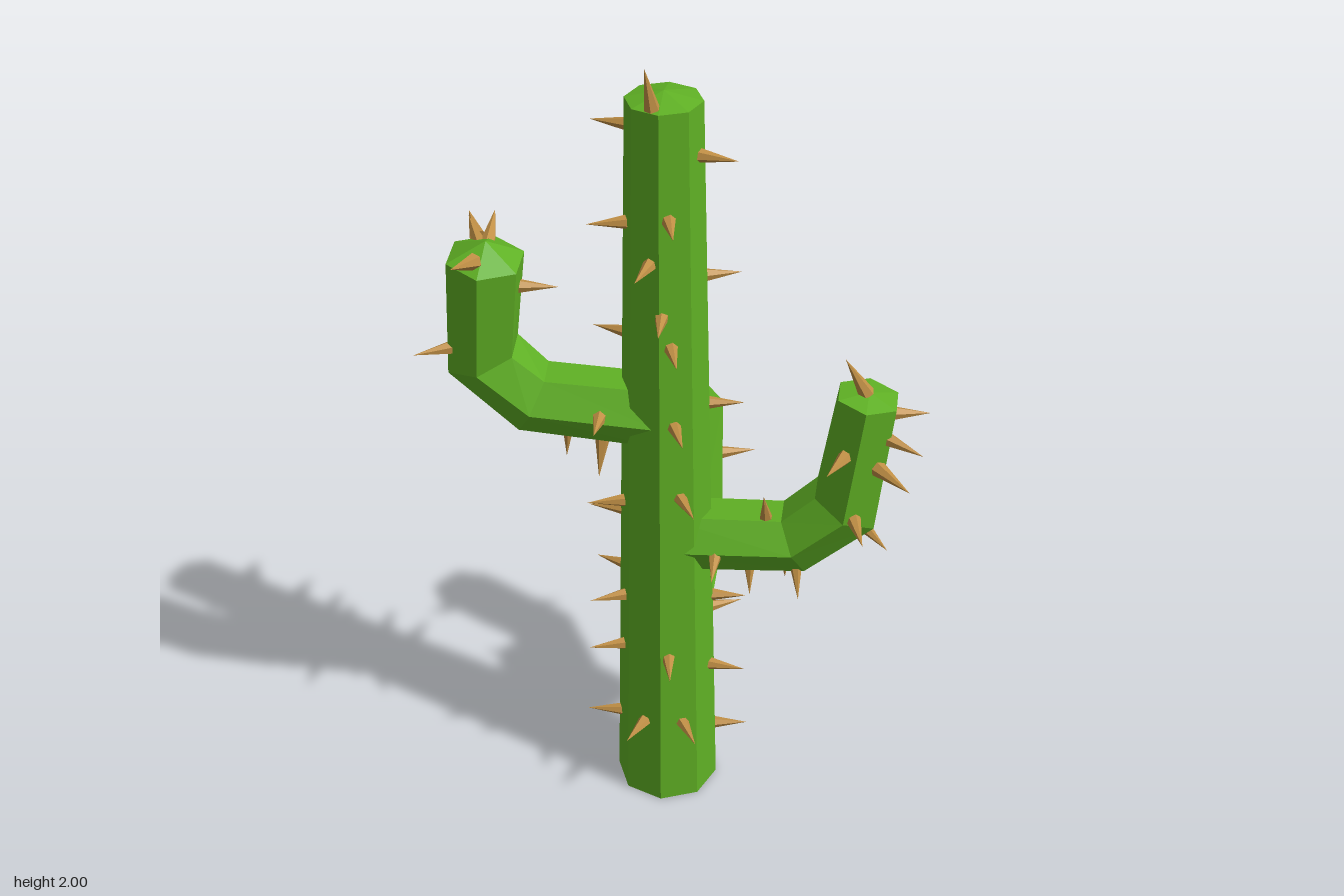
import * as THREE from 'three';

const SPINE = 0.11;
const V = (p) => new THREE.Vector3(...p);

// Faceted limb swept along points, with flat-shaded rings and a low domed tip
function limbGeometry(sides, path, radii, ref, dome) {
  const pts = path.map(V), pos = [], idx = [], n = pts.length;
  pts.forEach((p, i) => {
    const t = new THREE.Vector3();
    if (i > 0) t.add(p.clone().sub(pts[i - 1]).normalize());
    if (i < n - 1) t.add(pts[i + 1].clone().sub(p).normalize());
    t.normalize();
    const u = V(ref).addScaledVector(t, -t.dot(V(ref))).normalize();
    const v = t.clone().cross(u);
    for (let j = 0; j < sides; j++) {
      const a = (j / sides) * Math.PI * 2;
      const q = p.clone().addScaledVector(u, Math.cos(a) * radii[i]).addScaledVector(v, Math.sin(a) * radii[i]);
      pos.push(q.x, q.y, q.z);
    }
  });
  const tip = pts[n - 1].clone().addScaledVector(pts[n - 1].clone().sub(pts[n - 2]).normalize(), dome);
  pos.push(...path[0], tip.x, tip.y, tip.z);
  const start = n * sides, end = start + 1, last = (n - 1) * sides;
  for (let j = 0; j < sides; j++) {
    const k = (j + 1) % sides;
    for (let i = 0; i < n - 1; i++) {
      const a = i * sides + j, b = i * sides + k;
      idx.push(a, b, b + sides, a, b + sides, a + sides);
    }
    idx.push(start, k, j, end, last + j, last + k);
  }
  const g = new THREE.BufferGeometry();
  g.setAttribute('position', new THREE.Float32BufferAttribute(pos, 3));
  g.setIndex(idx);
  const flat = g.toNonIndexed();
  flat.computeVertexNormals();
  return flat;
}

// Closest point to p on a limb's centre line
function nearestOnPath(path, p) {
  const found = path.slice(1).map((q, i) =>
    new THREE.Line3(V(path[i]), V(q)).closestPointToPoint(p, true, new THREE.Vector3()));
  return found.sort((a, b) => a.distanceTo(p) - b.distanceTo(p))[0];
}

export function createModel() {
  const green = new THREE.MeshStandardMaterial({ color: 0x5fb024, flatShading: true });
  green.name = 'cactusGreen';
  const tan = new THREE.MeshStandardMaterial({ color: 0xc08f45, flatShading: true });
  tan.name = 'spineTan';

  const model = new THREE.Group();
  model.name = 'cactus';
  const spineGeometry = new THREE.ConeGeometry(0.02, SPINE, 6);
  const up = new THREE.Vector3(0, 1, 0);

  // Spine ending at tip and pointing away from origin
  const addSpine = (limb, origin, tip) => {
    const dir = tip.clone().sub(origin).normalize();
    const spine = new THREE.Mesh(spineGeometry, tan);
    spine.name = 'spine';
    spine.position.copy(tip).addScaledVector(dir, -SPINE / 2);
    spine.quaternion.setFromUnitVectors(up, dir);
    limb.add(spine);
  };

  // Each limb grows its spines straight out from its centre line to the given tips
  const addLimb = (name, sides, path, radii, ref, dome, tips) => {
    const limb = new THREE.Group();
    limb.name = name;
    const body = new THREE.Mesh(limbGeometry(sides, path, radii, ref, dome), green);
    body.name = name + 'Body';
    limb.add(body);
    for (const tip of tips.map(V)) addSpine(limb, nearestOnPath(path, tip), tip);
    model.add(limb);
    return limb;
  };

  // Trunk spines by side: [height, bearing in degrees from the front toward +x]
  const front = [[1.65, 14], [1.54, -14], [1.41, 3], [1.33, 16], [1.12, 20], [0.92, 28], [0.45, 10], [0.24, -22], [0.24, 28]];
  const left = [[1.78, 78], [1.46, 108], [1.13, 97], [0.57, 94], [0.5, 116], [0.37, 82], [0.15, 97]];
  const back = [[1.74, 170], [1.63, 198], [1.54, 160], [1.46, 188], [1.37, 172], [1.22, 200], [1.13, 178], [1.05, 162], [0.34, 165], [0.04, 178]];
  const right = [[1.83, -100], [1.61, -75], [1.3, -105], [0.86, -75], [0.81, -95], [0.62, -110], [0.59, -65], [0.43, -70], [0.19, -85]];
  const trunkTips = [...front, ...left, ...back, ...right].map(([y, bearing]) => {
    const a = THREE.MathUtils.degToRad(bearing), r = 0.207 - 0.02 * y;
    return [-0.03 + Math.sin(a) * r, y, 0.124 + Math.cos(a) * r];
  });

  // Trunk with one upright spine on its crown
  const trunk = addLimb('trunk', 8, [[-0.03, 0, 0.125], [-0.03, 1.9, 0.122]], [0.127, 0.087], [0, 0, -1], 0.02, trunkTips);
  addSpine(trunk, V([-0.04, 1.85, 0.175]), V([-0.06, 2, 0.2]));

  // Three bent arms
  addLimb('rightArm', 6, [[-0.03, 1.11, 0.13], [-0.34, 1.13, 0.135], [-0.45, 1.25, 0.155], [-0.427, 1.515, 0.178]],
    [0.088, 0.088, 0.092, 0.092], [0, 0, 1], 0.045, [
      [-0.59, 1.29, 0.25], [-0.27, 1.43, 0.14], [-0.47, 1.565, 0.33], [-0.5, 1.54, 0.005], [-0.43, 1.565, 0.04],
      [-0.49, 1.55, 0.05], [-0.265, 0.97, 0.14], [-0.18, 0.95, 0.19], [-0.17, 1.14, 0.3],
    ]);

  addLimb('leftArm', 6, [[-0.03, 0.755, 0.125], [0.28, 0.77, 0.12], [0.4, 0.88, 0.12], [0.44, 1.185, 0.125]],
    [0.088, 0.088, 0.092, 0.078], [0, 0, 1], 0.012, [
      [0.385, 1.29, 0.14], [0.585, 1.12, 0.075], [0.575, 1.08, 0.2], [0.55, 1.01, 0.25], [0.36, 1.06, 0.28],
      [0.45, 0.88, 0.29], [0.445, 1.06, -0.04], [0.505, 0.755, 0.13], [0.21, 0.92, 0.18],
      [0.18, 0.62, 0.17], [0.26, 0.63, 0.1], [0.3, 0.64, 0.2], [0.1, 0.74, 0.29],
    ]);

  addLimb('backArm', 6, [[-0.02, 0.465, 0.1], [-0.02, 0.475, -0.11], [-0.02, 0.575, -0.22], [-0.025, 0.9, -0.255]],
    [0.09, 0.09, 0.09, 0.088], [1, 0, 0], 0.004, [
      [-0.03, 0.605, -0.015], [0.145, 0.735, -0.29], [-0.185, 0.8, -0.16],
    ]);

  return model;
}
